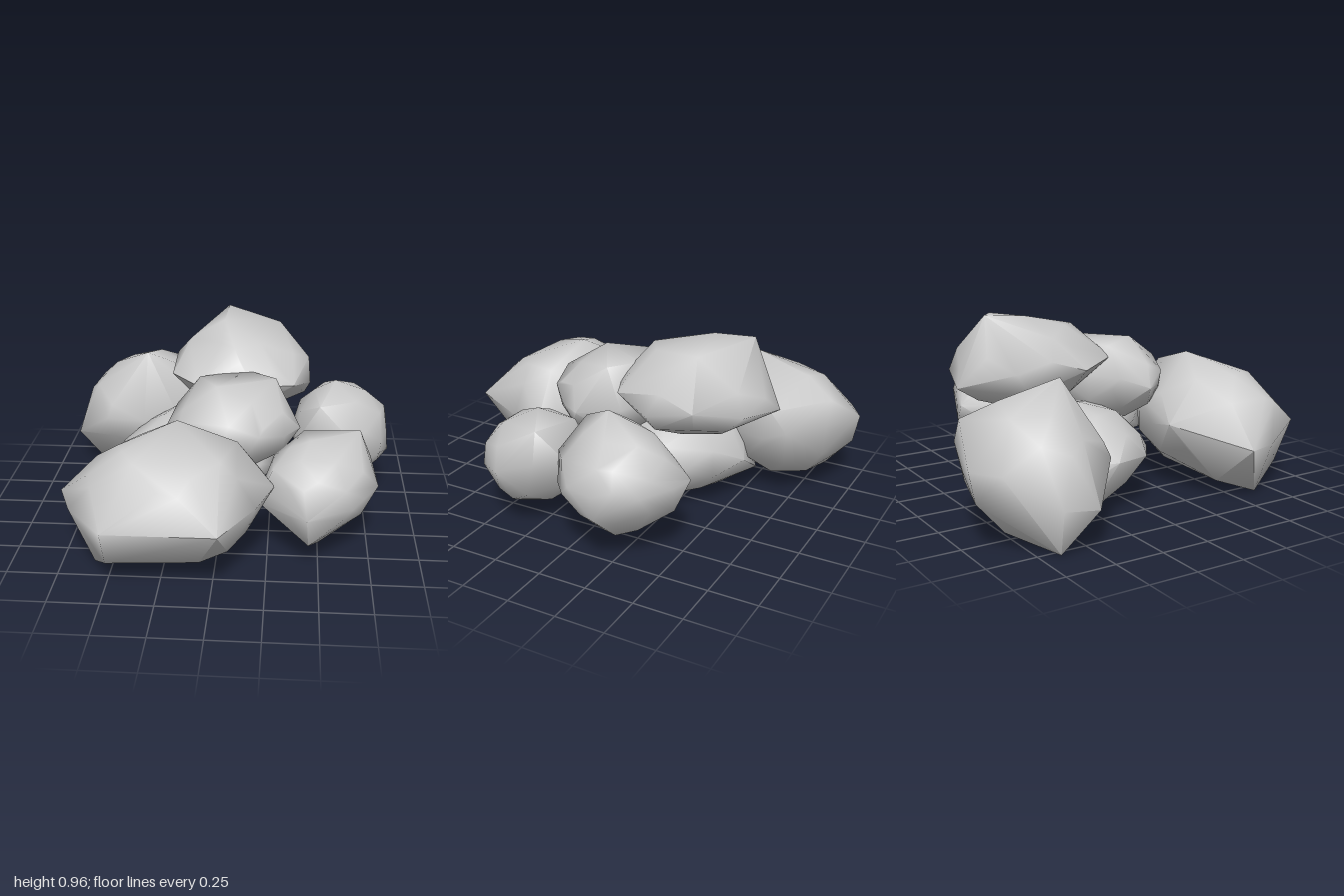
import * as THREE from 'three';
import { toCreasedNormals } from 'three/addons/utils/BufferGeometryUtils.js';
import { ConvexGeometry } from 'three/addons/geometries/ConvexGeometry.js';

const material = new THREE.MeshStandardMaterial({ color: 0xcccccc });

// A rock: the convex hull of a rounded core and a few protruding corners.
function rock(name, center, radii, corners) {
  const points = corners.map((c) => new THREE.Vector3(...c));
  const core = new THREE.IcosahedronGeometry(1, 1).attributes.position;
  const mid = new THREE.Vector3(...center);
  const size = new THREE.Vector3(...radii);
  const seen = new Set();
  for (let i = 0; i < core.count; i++) {
    const p = new THREE.Vector3().fromBufferAttribute(core, i).multiply(size).add(mid);
    const key = p.toArray().map((v) => v.toFixed(3)).join();
    if (!seen.has(key)) points.push(p);
    seen.add(key);
  }
  const mesh = new THREE.Mesh(toCreasedNormals(new ConvexGeometry(points), 1.2), material);
  mesh.name = name;
  return mesh;
}

export function createModel() {
  const pile = new THREE.Group();
  pile.name = 'rockPile';

  // Large angular boulder at the front
  pile.add(rock('frontBoulder', [-0.24, 0.36, 0.57], [0.43, 0.3, 0.35], [
    [0.04, 0.37, 1.0], [-0.5, 0.34, 0.95], [-0.78, 0.31, 0.45], [0.28, 0.38, 0.48],
    [-0.19, 0.71, 0.47], [-0.43, 0.62, 0.65], [0.1, 0.62, 0.5], [-0.59, 0.02, 0.63],
    [-0.06, 0.14, 0.82], [0.07, 0.17, 0.76], [0.15, 0.19, 0.6], [-0.43, 0.4, 0.19],
    [-0.5, 0.13, 0.84], [0.03, 0.6, 0.7], [-0.1, 0.06, 0.5], [-0.15, 0.51, 0.9],
    [-0.57, 0.48, 0.76], [-0.71, 0.3, 0.63], [0.2, 0.45, 0.41], [0.2, 0.36, 0.68],
    [-0.1, 0.57, 0.82], [-0.52, 0.09, 0.43],
  ]));

  // Tall boulder at the back right
  pile.add(rock('backBoulder', [-0.49, 0.36, -0.62], [0.33, 0.3, 0.34], [
    [-0.6, 0.4, -1.0], [-0.28, 0.45, -0.92], [-0.13, 0.43, -0.76], [-0.14, 0.53, -0.67],
    [-0.46, 0.4, -0.24], [-0.88, 0.22, -0.5], [-0.87, 0.24, -0.68], [-0.74, 0.4, -0.91],
    [-0.46, 0.73, -0.46], [-0.79, 0.01, -0.65], [-0.7, 0.55, -0.55], [-0.81, 0.46, -0.6],
    [-0.6, 0.09, -0.83], [-0.42, 0.65, -0.76], [-0.68, 0.38, -0.32], [-0.28, 0.4, -0.33],
    [-0.6, 0.25, -0.97], [-0.55, 0.06, -0.48], [-0.34, 0.57, -0.92], [-0.45, 0.36, -0.96],
  ]));

  // Boulder resting on top at the back
  pile.add(rock('topBoulder', [0.08, 0.7, -0.36], [0.34, 0.23, 0.36], [
    [0, 0.62, -0.77], [0.27, 0.66, -0.69], [0.43, 0.7, -0.5], [0.45, 0.65, -0.26],
    [0.15, 0.72, 0.02], [-0.13, 0.72, 0.03], [-0.29, 0.7, -0.21], [-0.28, 0.76, -0.4],
    [-0.01, 0.97, -0.62], [0.28, 0.93, -0.45], [-0.02, 0.95, -0.4], [-0.2, 0.86, -0.35],
    [0.36, 0.7, -0.06], [0.05, 0.88, -0.1], [0.26, 0.57, -0.6], [0.0, 0.55, -0.66],
    [-0.13, 0.68, -0.62], [0.44, 0.77, -0.33], [0.42, 0.58, -0.3], [-0.1, 0.48, -0.4],
  ]));

  // Smaller rock resting in front of the top boulder
  pile.add(rock('topFrontRock', [0.06, 0.56, 0.14], [0.31, 0.21, 0.27], [
    [0.02, 0.57, 0.44], [0.2, 0.6, 0.4], [0.4, 0.56, 0.16], [0.31, 0.58, -0.05],
    [-0.28, 0.56, 0.18], [-0.2, 0.63, 0.3], [-0.02, 0.79, 0.22], [0.27, 0.78, 0.05],
    [-0.12, 0.77, 0.02], [0.05, 0.66, 0.42], [0.05, 0.36, 0.15], [0.12, 0.78, -0.06],
    [0.12, 0.46, 0.38], [-0.24, 0.62, 0.02],
  ]));

  // Rock at the front left
  pile.add(rock('leftFrontRock', [0.49, 0.33, 0.34], [0.27, 0.23, 0.27], [
    [0.44, 0.28, 0.65], [0.66, 0.3, 0.55], [0.79, 0.35, 0.38], [0.76, 0.42, 0.18],
    [0.62, 0.4, 0.07], [0.4, 0.35, 0.06], [0.2, 0.25, 0.4], [0.45, 0.57, 0.35],
    [0.7, 0.57, 0.2], [0.5, 0.08, 0.48], [0.42, 0.42, 0.61], [0.7, 0.17, 0.35],
    [0.2, 0.18, 0.25], [0.42, 0.54, 0.15], [0.24, 0.38, 0.45], [0.45, 0.13, 0.61],
  ]));

  // Rock at the left side
  pile.add(rock('leftRock', [0.61, 0.4, -0.21], [0.26, 0.27, 0.29], [
    [0.49, 0.4, -0.53], [0.81, 0.42, -0.43], [0.88, 0.29, -0.22], [0.82, 0.35, -0.02],
    [0.65, 0.48, 0.1], [0.38, 0.4, -0.02], [0.48, 0.42, 0.06], [0.58, 0.71, -0.14],
    [0.85, 0.54, -0.23], [0.59, 0.1, -0.26], [0.5, 0.62, 0.03], [0.6, 0.18, 0.0],
    [0.38, 0.3, -0.4], [0.87, 0.45, -0.32], [0.6, 0.28, -0.5], [0.72, 0.14, -0.25],
    [0.7, 0.33, 0.08],
  ]));

  // Low wide rock under the pile
  pile.add(rock('baseRock', [-0.13, 0.27, -0.18], [0.39, 0.24, 0.33], [
    [-0.57, 0.3, -0.2], [-0.48, 0.28, 0.02], [-0.25, 0.25, 0.18], [-0.28, 0.48, -0.3],
    [-0.45, 0.03, -0.3], [-0.2, 0.01, -0.2], [0.14, 0.09, -0.25], [0.28, 0.2, -0.15],
    [0.1, 0.15, 0.14], [-0.1, 0.25, -0.55], [-0.4, 0.07, -0.5], [0.25, 0.4, -0.25],
    [-0.15, 0.05, 0.05], [-0.2, 0.02, -0.35], [-0.53, 0.3, -0.3], [0.0, 0.1, 0.11],
  ]));

  return pile;
}
